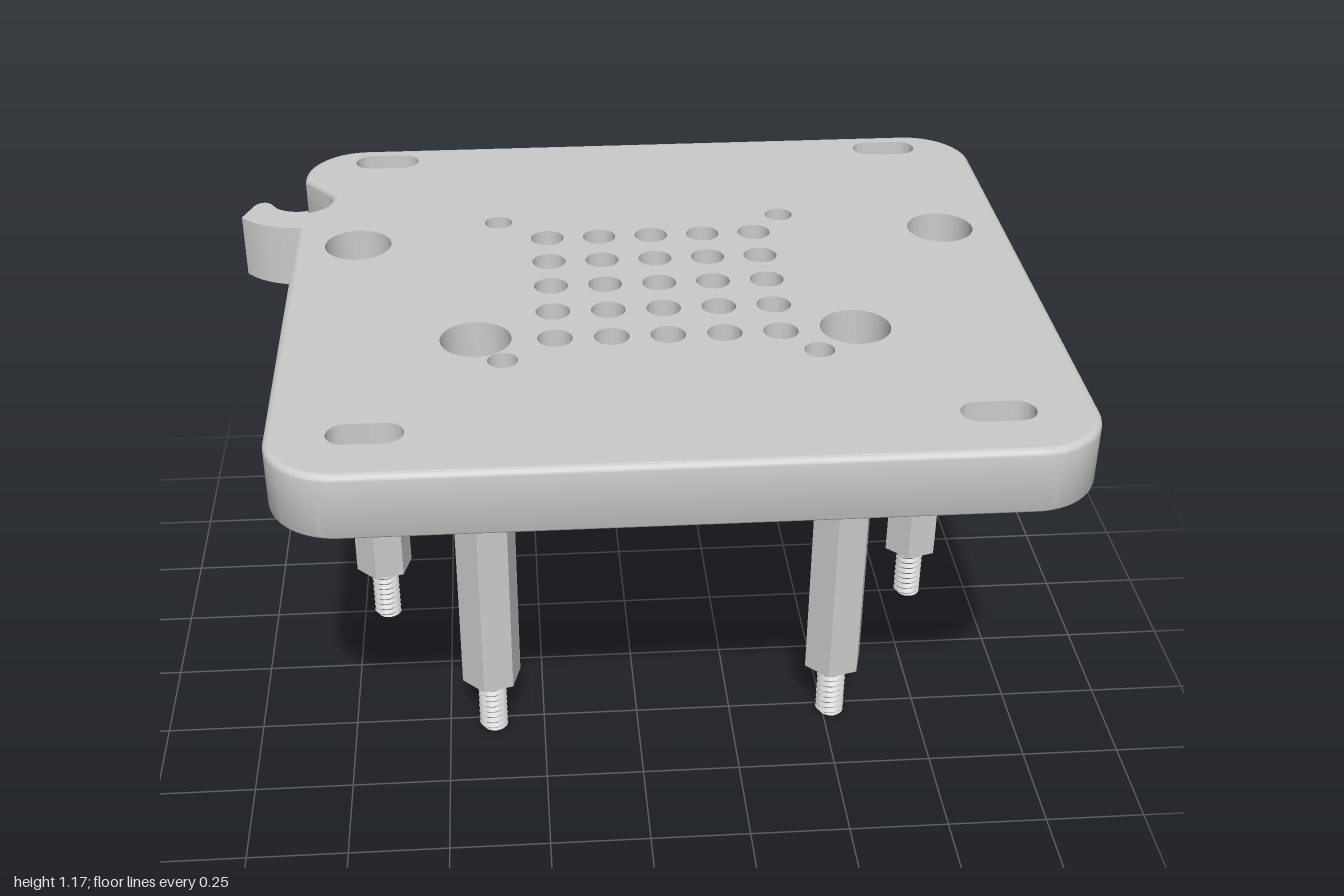
import * as THREE from 'three';
import { toCreasedNormals } from 'three/addons/utils/BufferGeometryUtils.js';

const material = new THREE.MeshStandardMaterial({ color: 0xcccccc });
const PLATE_Y = 1.005, PLATE_H = 0.165, FLOOR_H = 0.065, BEVEL = 0.015;
const LEG_Y = 0.165, BORE_DEPTH = 0.25;
const BITE = { x: -0.853, y: 0.545, r: 0.083 };
const LEGS = [[-0.685, -0.25], [0.83, -0.25], [-0.385, 0.275], [0.52, 0.275]];

function add(parent, name, geometry) {
  const mesh = new THREE.Mesh(geometry, material);
  mesh.name = name;
  parent.add(mesh);
  return mesh;
}

// Shapes are drawn in plan with y = -z, then stood up along +y.
function slab(shape, height, y, options = {}) {
  const g = new THREE.ExtrudeGeometry(shape, { depth: height, bevelEnabled: false, curveSegments: 20, ...options });
  g.rotateX(-Math.PI / 2);
  g.translate(0, y, 0);
  return g;
}

function circleHole(x, z, r) {
  return new THREE.Path().absarc(x, -z, r, 0, Math.PI * 2, true);
}

function slotHole(x, z, halfLength, r) {
  const p = new THREE.Path();
  p.absarc(x + halfLength - r, -z, r, -Math.PI / 2, Math.PI / 2, false);
  p.absarc(x - halfLength + r, -z, r, Math.PI / 2, Math.PI * 1.5, false);
  p.closePath();
  return p;
}

// Rounded plate with a bite out of its left edge, inset by b
function plateOutline(b) {
  const L = -0.85 + b, R = 1 - b, T = 0.857 - b, r = 0.165 - b, rb = BITE.r + b;
  const s = new THREE.Shape();
  s.moveTo(L + r, -T);
  s.absarc(R - r, -T + r, r, -Math.PI / 2, 0, false);
  s.absarc(R - r, T - r, r, 0, Math.PI / 2, false);
  s.absarc(L + r, T - r, r, Math.PI / 2, Math.PI * 1.03, false);
  s.absarc(BITE.x, BITE.y, rb, 0.51, -Math.acos((L - BITE.x) / rb), true);
  s.absarc(L + r, -T + r, r, Math.PI, Math.PI * 1.5, false);
  return s;
}

function plateLayer(legHoleRadius) {
  const s = plateOutline(BEVEL);
  // vent grid
  for (let i = 0; i < 5; i++)
    for (let j = 0; j < 5; j++)
      s.holes.push(circleHole(-0.198 + i * 0.1345, -0.257 + j * 0.135, 0.042));
  // mounting holes and edge slots
  for (const x of [-0.323, 0.418]) for (const z of [-0.358, 0.381]) s.holes.push(circleHole(x, z, 0.036));
  for (const x of [-0.628, 0.773]) for (const z of [-0.773, 0.686]) s.holes.push(slotHole(x, z, 0.086, 0.043));
  for (const [x, z] of LEGS) s.holes.push(circleHole(x, z, legHoleRadius));
  return s;
}

// Rounded outer edge of the plate: the side faces of a bevelled slab
function rimGeometry() {
  const g = slab(plateOutline(BEVEL), PLATE_H - 2 * BEVEL, PLATE_Y + BEVEL, {
    bevelEnabled: true, bevelSize: BEVEL, bevelThickness: BEVEL, bevelSegments: 4,
  });
  const { start, count } = g.groups[1];
  const sides = g.attributes.position.array.slice(start * 3, (start + count) * 3);
  const rim = new THREE.BufferGeometry();
  rim.setAttribute('position', new THREE.BufferAttribute(sides, 3));
  return toCreasedNormals(rim, 0.6);
}

function hookShape() {
  const s = new THREE.Shape();
  s.moveTo(-0.827, 0.362);
  s.lineTo(-0.855, 0.362);
  s.quadraticCurveTo(-0.945, 0.368, -1, 0.437);
  s.lineTo(-0.972, 0.51);
  s.quadraticCurveTo(-0.95, 0.54, -0.928, 0.513);
  s.absarc(BITE.x, BITE.y, BITE.r, Math.PI * 1.25, Math.PI * 1.6, false);
  s.closePath();
  return s;
}

function hexShape(boreRadius) {
  const s = new THREE.Shape();
  for (let k = 0; k < 6; k++) {
    const a = Math.PI / 4 + k * Math.PI / 3, x = 0.0785 * Math.cos(a), y = -0.0785 * Math.sin(a);
    if (k) s.lineTo(x, y); else s.moveTo(x, y);
  }
  s.closePath();
  if (boreRadius) s.holes.push(circleHole(0, 0, boreRadius));
  return s;
}

// Helical thread: cylinder radius follows a triangle wave along the helix
function threadGeometry() {
  const height = 0.142, pitch = 0.0178;
  const g = new THREE.CylinderGeometry(1, 1, height, 24, 64);
  g.translate(0, height / 2, 0);
  const p = g.attributes.position, uv = g.attributes.uv;
  for (let i = 0; i < p.count; i++) {
    const radial = Math.hypot(p.getX(i), p.getZ(i));
    if (radial < 0.5) continue;
    const turn = Math.atan2(p.getZ(i), p.getX(i)) / (2 * Math.PI);
    const phase = p.getY(i) / pitch + turn + 10;
    const wave = Math.abs((phase % 1) * 2 - 1);
    const r = 0.0285 + 0.0095 * wave;
    p.setX(i, p.getX(i) * r);
    p.setZ(i, p.getZ(i) * r);
  }
  return toCreasedNormals(g, 0.4);
}

function createLeg() {
  const leg = new THREE.Group();
  leg.name = 'leg';
  const boreY = PLATE_Y - BORE_DEPTH;
  add(leg, 'hexStandoff', slab(hexShape(0), boreY - LEG_Y, LEG_Y));
  add(leg, 'hexStandoffSocket', toCreasedNormals(slab(hexShape(0.036), BORE_DEPTH, boreY), 0.6));
  const neck = new THREE.CylinderGeometry(0.029, 0.029, 0.035, 24);
  add(leg, 'studNeck', neck).position.y = 0.15;
  add(leg, 'threadedStud', threadGeometry());
  return leg;
}

export function createModel() {
  const model = new THREE.Group();
  model.name = 'mountingPlateOnStandoffs';

  // Plate in two layers, so the wide counterbores end on a floor with a narrow hole
  const lower = slab(plateLayer(0.043), FLOOR_H, PLATE_Y);
  const upper = slab(plateLayer(0.085), PLATE_H - FLOOR_H, PLATE_Y + FLOOR_H);
  add(model, 'plateLower', toCreasedNormals(lower, 0.6));
  add(model, 'plateUpper', toCreasedNormals(upper, 0.6));
  add(model, 'plateRim', rimGeometry());
  add(model, 'sideHook', toCreasedNormals(slab(hookShape(), PLATE_H, PLATE_Y), 0.6));

  // Legs
  for (const [x, z] of LEGS) {
    const leg = createLeg();
    leg.position.set(x, 0, z);
    model.add(leg);
  }
  return model;
}
